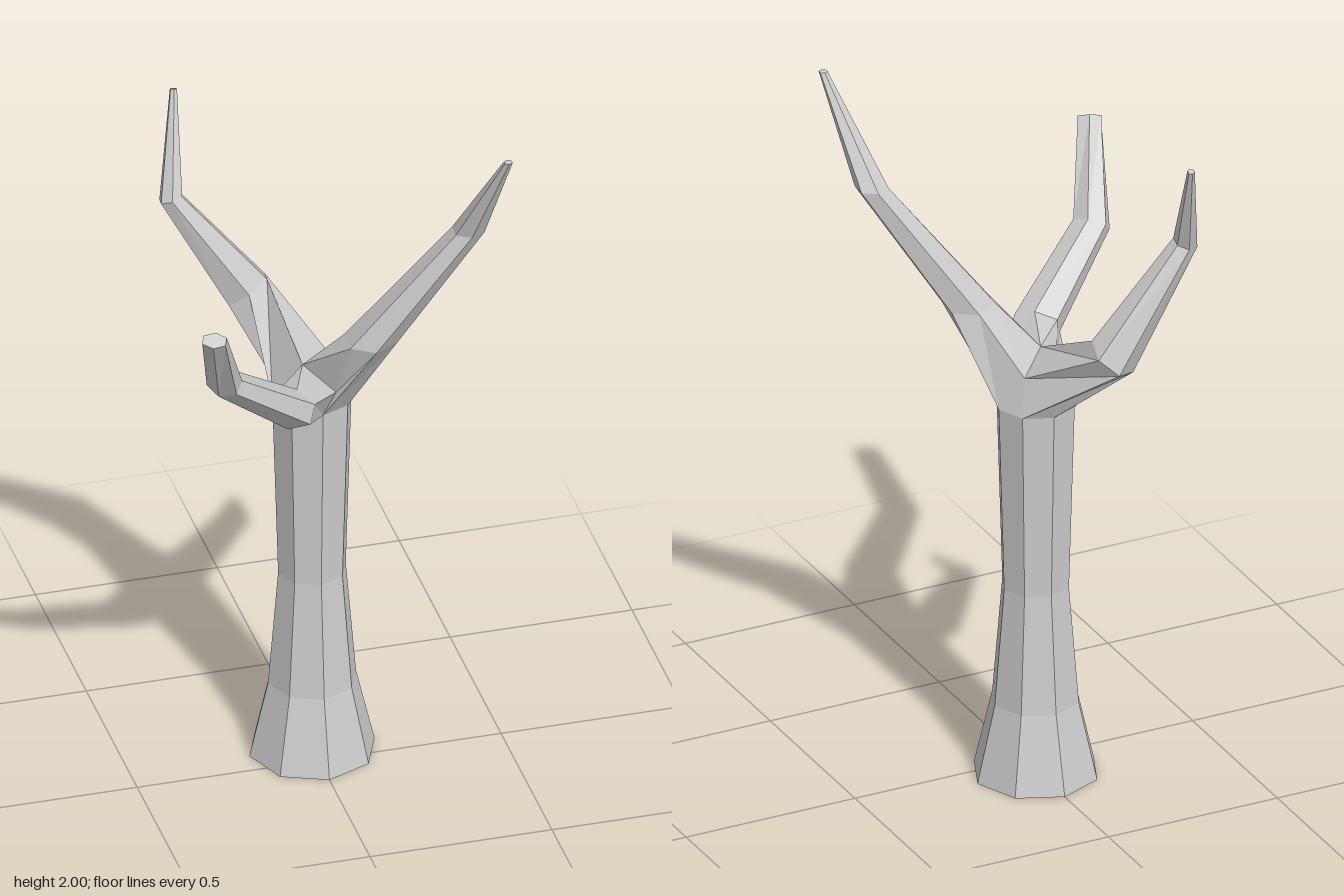
import * as THREE from 'three';

const V = (x, y, z) => new THREE.Vector3(x, y, z);

// Ring of points, clockwise seen from the tip; u is the direction of the first point
function ring(c, n, ref, r, flat, sides) {
  const u = ref.clone().addScaledVector(n, -ref.dot(n)).normalize();
  const v = u.clone().cross(n);
  return Array.from({ length: sides }, (_, i) => {
    const a = (i / sides) * Math.PI * 2;
    return c.clone().addScaledVector(u, Math.cos(a) * r * flat).addScaledVector(v, Math.sin(a) * r);
  });
}

// Triangles joining successive rings, with optional end caps
function loft(rings, capStart, capEnd) {
  const tris = [];
  const count = rings[0].length;
  for (let k = 0; k < rings.length - 1; k++) {
    const a = rings[k], b = rings[k + 1];
    for (let j = 0; j < count; j++) {
      const m = (j + 1) % count;
      tris.push(a[m], a[j], b[j], a[m], b[j], b[m]);
    }
  }
  const first = rings[0], last = rings[rings.length - 1];
  for (let j = 1; j < count - 1; j++) {
    if (capStart) tris.push(first[0], first[j], first[j + 1]);
    if (capEnd) tris.push(last[0], last[j + 1], last[j]);
  }
  return tris;
}

export function createModel() {
  const group = new THREE.Group();
  const material = new THREE.MeshStandardMaterial({ color: 0xcccccc, flatShading: true });
  const add = (name, tris) => {
    const geometry = new THREE.BufferGeometry().setFromPoints(tris);
    geometry.computeVertexNormals();
    const mesh = new THREE.Mesh(geometry, material);
    mesh.name = name;
    group.add(mesh);
  };

  // Eight-sided trunk, flared at the foot
  const up = V(0, 1, 0);
  const trunk = [[0, 0.172], [0.22, 0.121], [0.56, 0.093], [1.1, 0.109]]
    .map(([y, r]) => ring(V(0, y, -0.07), up, V(1, 0, 0), r, 1, 8));
  const T = trunk[3];

  // Crotch points where the three branches part
  const M = V(-0.04, 1.23, -0.02);
  const back = V(0.055, 1.2, -0.115);
  const front = V(0.03, 1.18, 0.06);
  const side = M.clone().lerp(T[4], 0.5);
  add('trunk', [...loft(trunk, true, false), T[0], T[7], back]);

  // Branch: root loop on the trunk, then rings of [x, y, z, radius, flatness]
  function branch(name, root, spec, ref, normal) {
    const pts = spec.map(([x, y, z]) => V(x, y, z));
    const start = root.reduce((s, p) => s.add(p), V(0, 0, 0)).divideScalar(root.length);
    const rings = spec.map(([, , , r, flat], i) => {
      const before = pts[i].clone().sub(i ? pts[i - 1] : start).normalize();
      const after = i < pts.length - 1 ? pts[i + 1].clone().sub(pts[i]).normalize() : before;
      const n = normal || before.add(after).normalize();
      return ring(pts[i], n, ref, r, flat, 6);
    });
    add(name, loft([root, ...rings], false, true));
  }

  branch('leftBranch', [M, back, T[0], T[1], T[2], front], [
    [0.12, 1.35, 0.085, 0.081, 0.9],
    [0.36, 1.705, 0.18, 0.045, 1],
    [0.427, 1.995, 0.333, 0.012, 1],
  ], V(-0.85, 0, -0.55), up);

  branch('backBranch', [M, T[4], T[5], T[6], T[7], back], [
    [-0.115, 1.31, -0.295, 0.074, 0.95],
    [-0.318, 1.615, -0.32, 0.034, 1],
    [-0.28, 1.885, -0.43, 0.01, 1],
  ], V(0.1, 1, 0));

  branch('rightBranch', [M, front, T[2], T[3], T[4], side], [
    [-0.115, 1.205, 0.15, 0.068, 0.8],
    [-0.335, 1.395, 0.268, 0.053, 0.75],
    [-0.405, 1.63, 0.42, 0.036, 0.65],
  ], up);

  return group;
}
